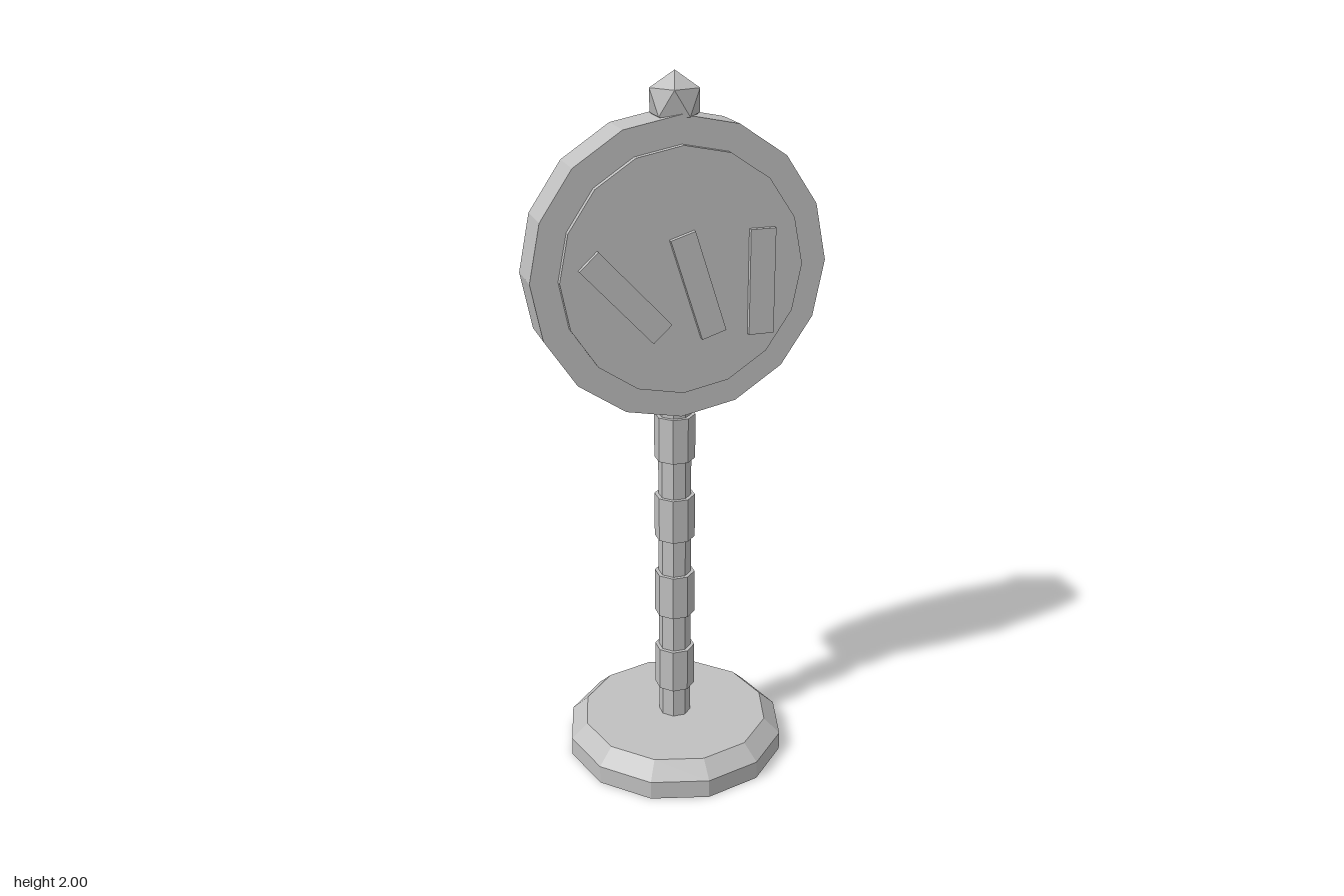
import * as THREE from 'three';

export function createModel() {
  const model = new THREE.Group();
  model.name = 'signPost';
  const grey = new THREE.MeshStandardMaterial({ color: 0xc0c0c0, flatShading: true });
  grey.name = 'stone grey';

  const add = (parent, name, geometry, x = 0, y = 0, z = 0) => {
    const mesh = new THREE.Mesh(geometry, grey);
    mesh.name = name;
    mesh.position.set(x, y, z);
    parent.add(mesh);
    return mesh;
  };

  // Twelve-sided foot with a bevelled upper edge
  const profile = [[0, 0], [0.323, 0], [0.323, 0.055], [0.275, 0.1], [0, 0.1]];
  add(model, 'base', new THREE.LatheGeometry(profile.map(([r, y]) => new THREE.Vector2(r, y)), 12));

  // Octagonal pole with evenly spaced collars
  const octagon = (r, h) => new THREE.CylinderGeometry(r, r, h, 8, 1, false, Math.PI / 8);
  add(model, 'pole', octagon(0.047, 1.02), 0, 0.6);
  for (let i = 0; i < 4; i++) {
    add(model, 'poleCollar', octagon(0.058, 0.132), 0, 0.26 + i * 0.246);
  }

  // Sixteen-sided head disc
  const head = new THREE.Group();
  head.name = 'head';
  head.position.set(0, 1.487, -0.002);
  model.add(head);
  const disc = (r, h) => new THREE.CylinderGeometry(r, r, h, 16).rotateX(Math.PI / 2);
  add(head, 'headRim', disc(0.41, 0.126), 0, 0, 0);
  add(head, 'facePlates', disc(0.335, 0.162), 0, 0, 0);

  // Three raised bars on each face: x, y, tilt
  const bars = [[-0.161, -0.052, 0.75], [0.038, -0.035, 0.31], [0.217, -0.038, 0]];
  for (const turn of [0, Math.PI]) {
    const face = new THREE.Group();
    face.name = turn ? 'backBars' : 'frontBars';
    face.rotation.y = turn;
    head.add(face);
    for (const [x, y, tilt] of bars) {
      add(face, 'bar', new THREE.BoxGeometry(0.071, 0.29, 0.024), x, y, 0.083).rotation.z = tilt;
    }
  }

  // Faceted knob, one corner pointing straight up
  const golden = (1 + Math.sqrt(5)) / 2;
  const knob = new THREE.IcosahedronGeometry(0.0765, 0).rotateZ(Math.atan(1 / golden));
  add(model, 'topKnob', knob, 0, 1.9235, -0.001);

  return model;
}
